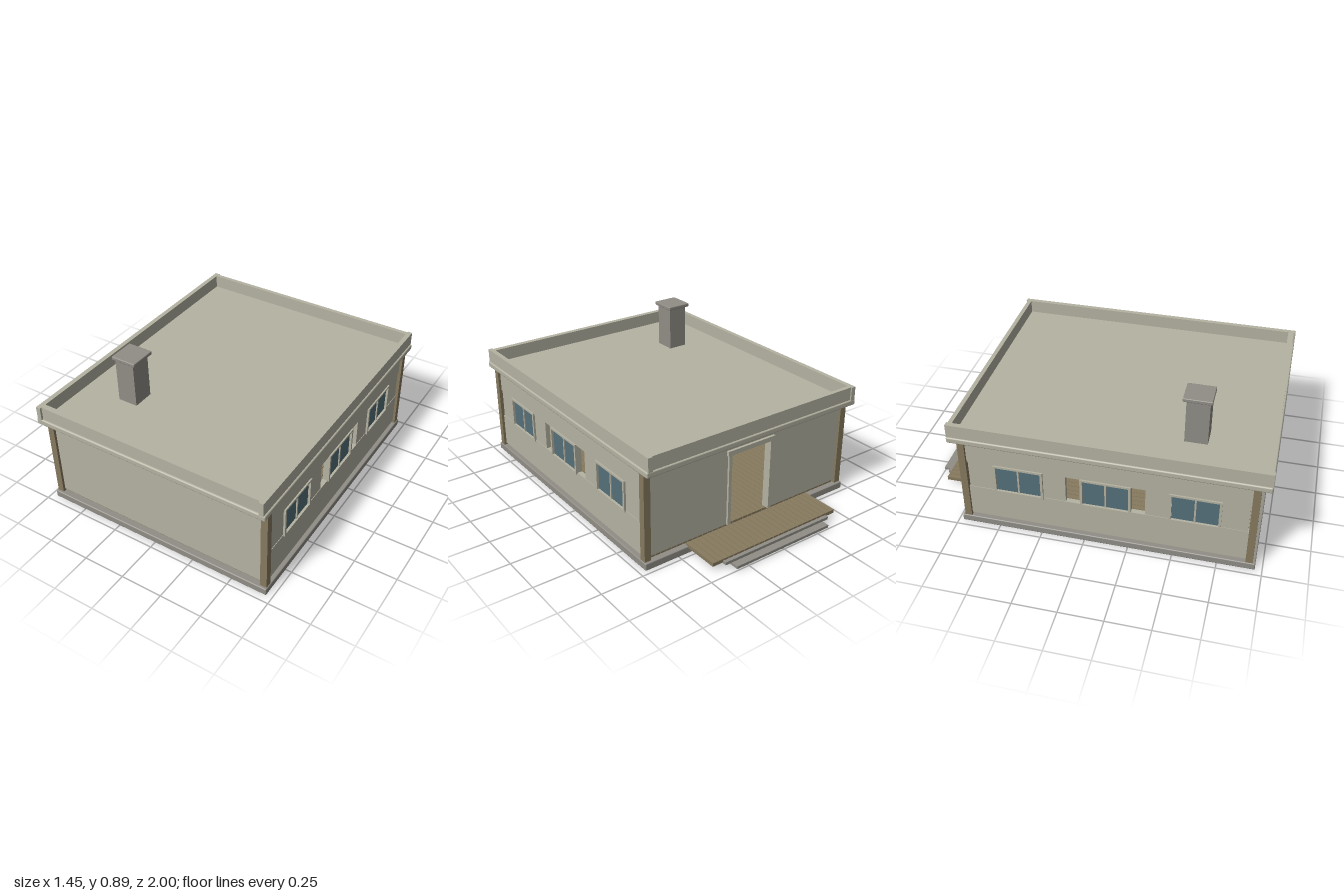
import * as THREE from 'three';
import { RoundedBoxGeometry } from 'three/addons/geometries/RoundedBoxGeometry.js';

const mat = (name, color) => {
  const m = new THREE.MeshStandardMaterial({ color });
  m.name = name;
  return m;
};

export function createModel() {
  const wall = mat('plaster', 0xb5b3a2);
  const stone = mat('greyStone', 0x918e87);
  const wood = mat('wood', 0x877a5f);
  const glass = mat('glass', 0x54707a);
  const house = new THREE.Group();
  house.name = 'house';

  // Box given by its lower and upper limits; r rounds the edges
  function box(name, m, [x0, x1], [y0, y1], [z0, z1], parent = house, r = 0) {
    const s = [x1 - x0, y1 - y0, z1 - z0];
    const g = r ? new RoundedBoxGeometry(...s, 2, r) : new THREE.BoxGeometry(...s);
    const b = new THREE.Mesh(g, m);
    b.name = name;
    b.position.set((x0 + x1) / 2, (y0 + y1) / 2, (z0 + z1) / 2);
    parent.add(b);
    return b;
  }
  // The same box on the +x and -x sides
  function pair(name, m, [x0, x1], y, z, parent = house) {
    box(name, m, [x0, x1], y, z, parent);
    box(name, m, [-x1, -x0], y, z, parent);
  }
  // Row of boards running along z
  function boards(name, count, half, y, z) {
    const row = new THREE.Group();
    row.name = name;
    house.add(row);
    const pitch = (2 * half) / count;
    for (let i = 0; i < count; i++) {
      const x = -half + i * pitch;
      box('board', wood, [x + 0.0015, x + pitch - 0.0015], y, z, row);
    }
  }

  // Base and floor
  box('foundation', stone, [-0.715, 0.715], [0, 0.043], [-0.725, 0.96], house, 0.006);
  boards('floor', 38, 0.665, [0.043, 0.058], [-0.69, 0.92]);

  // Corner posts
  for (const z of [[0.905, 0.945], [-0.71, -0.67]]) pair('cornerPost', wood, [0.67, 0.71], [0.043, 0.57], z);

  // Front wall, and back wall around the doorway
  box('frontWall', wall, [-0.672, 0.672], [0.058, 0.57], [0.9, 0.93]);
  pair('backWall', wall, [0.145, 0.672], [0.058, 0.57], [-0.695, -0.665]);
  box('wallOverDoor', wall, [-0.145, 0.145], [0.49, 0.57], [-0.695, -0.665]);

  // Door frame
  pair('doorJamb', wall, [0.137, 0.157], [0.058, 0.495], [-0.708, -0.66]);
  box('doorLintel', wall, [-0.165, 0.165], [0.49, 0.518], [-0.71, -0.66]);

  // Side walls: two long bands with panels, openings and windows between
  pair('lowerSideWall', wall, [0.665, 0.695], [0.055, 0.255], [-0.672, 0.907]);
  pair('upperSideWall', wall, [0.665, 0.695], [0.43, 0.57], [-0.672, 0.907]);
  for (const z of [[0.74, 0.9], [0.34, 0.485], [-0.245, -0.105], [-0.665, -0.505]])
    pair('sidePanel', wall, [0.667, 0.692], [0.255, 0.43], z);

  for (const side of [1, -1]) {
    for (const z of [0.612, 0.12, -0.375]) {
      const w = new THREE.Group();
      w.name = 'window';
      house.add(w);
      const X = (a, b) => (side > 0 ? [a, b] : [-b, -a]);
      box('pane', glass, X(0.682, 0.69), [0.255, 0.43], [z - 0.13, z + 0.13], w);
      for (const e of [-0.135, 0.135])
        box('windowJamb', wall, X(0.665, 0.704), [0.25, 0.432], [z + e - 0.007, z + e + 0.007], w);
      box('mullion', wall, X(0.68, 0.697), [0.255, 0.43], [z - 0.005, z + 0.005], w);
      box('windowSill', wall, X(0.67, 0.704), [0.247, 0.259], [z - 0.142, z + 0.142], w);
      box('windowHead', wall, X(0.67, 0.704), [0.422, 0.434], [z - 0.142, z + 0.142], w);
    }
  }

  // Flat roof with cornice and parapet
  box('roofCornice', wall, [-0.725, 0.725], [0.568, 0.603], [-0.763, 1], house, 0.008);
  pair('sideParapet', wall, [0.688, 0.716], [0.6, 0.682], [-0.763, 1]);
  box('frontParapet', wall, [-0.69, 0.69], [0.6, 0.682], [0.955, 0.988]);
  box('backParapet', wall, [-0.69, 0.69], [0.6, 0.682], [-0.755, -0.73]);

  // Chimney
  box('chimney', stone, [-0.45, -0.33], [0.562, 0.872], [0.497, 0.625]);
  box('chimneyCap', stone, [-0.465, -0.312], [0.87, 0.892], [0.478, 0.637], house, 0.005);

  // Back deck and steps
  boards('deck', 25, 0.44, [0.032, 0.053], [-0.933, -0.7]);
  box('upperStep', stone, [-0.37, 0.37], [0.025, 0.042], [-0.955, -0.92]);
  box('lowerStep', stone, [-0.33, 0.33], [0.01, 0.026], [-1, -0.935]);

  return house;
}
